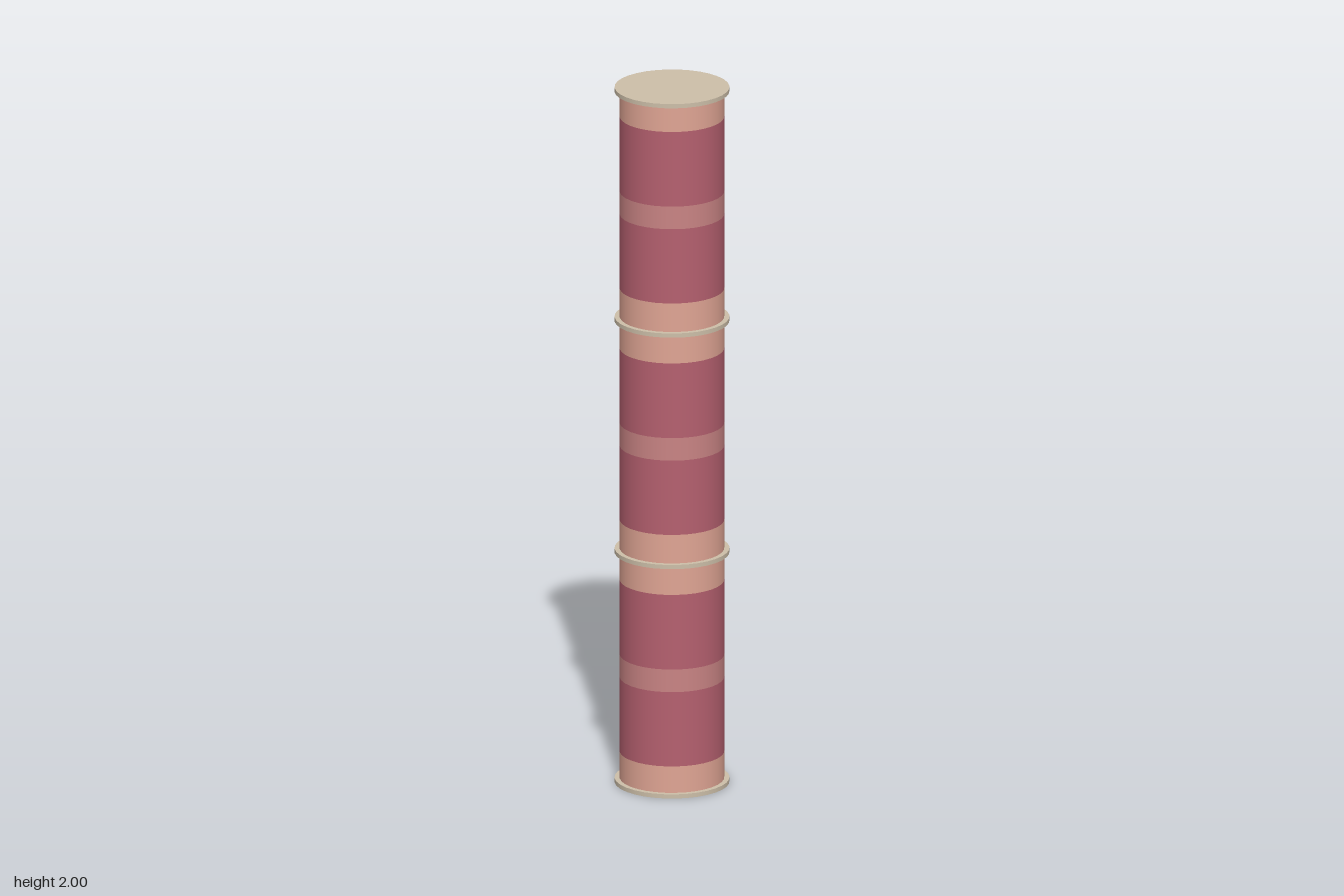
import * as THREE from 'three';

const SIDES = 32;
const SEGMENT = 2 / 3;
const R = 0.144;      // shaft radius
const R_DISC = 0.158; // collar disc radius

const mat = (name, color) => {
  const m = new THREE.MeshStandardMaterial({ color });
  m.name = name;
  return m;
};

export function createModel() {
  const model = new THREE.Group();
  model.name = 'column';
  const stone = mat('beige stone', 0xcdbfa9);
  const peach = mat('peach', 0xe0a594);
  const crimson = mat('crimson', 0xb5606f);
  const rose = mat('rose', 0xc98484);

  // Cylinder part spanning y0..y1
  const drum = (name, parent, r, y0, y1, material, open = false) => {
    const geo = new THREE.CylinderGeometry(r, r, y1 - y0, SIDES, 1, open);
    const mesh = new THREE.Mesh(geo, material);
    mesh.name = name;
    mesh.position.y = (y0 + y1) / 2;
    parent.add(mesh);
  };

  // Three identical stacked shaft segments
  for (let i = 0; i < 3; i++) {
    const seg = new THREE.Group();
    seg.name = 'shaftSegment' + (i + 1);
    seg.position.y = i * SEGMENT;
    drum('lowerBand', seg, R, 0.005, 0.088, peach);
    drum('lowerPanel', seg, R, 0.088, 0.302, crimson, true);
    drum('middleBand', seg, R, 0.302, 0.367, rose, true);
    drum('upperPanel', seg, R, 0.367, 0.582, crimson, true);
    drum('upperBand', seg, R, 0.582, SEGMENT - 0.005, peach);
    model.add(seg);
  }

  // Thin discs at the foot, joints and top
  drum('footDisc', model, R_DISC, 0, 0.012, stone);
  drum('lowerJointDisc', model, R_DISC, SEGMENT - 0.006, SEGMENT + 0.006, stone);
  drum('upperJointDisc', model, R_DISC, 2 * SEGMENT - 0.006, 2 * SEGMENT + 0.006, stone);
  drum('topDisc', model, R_DISC, 1.988, 2, stone);

  return model;
}
